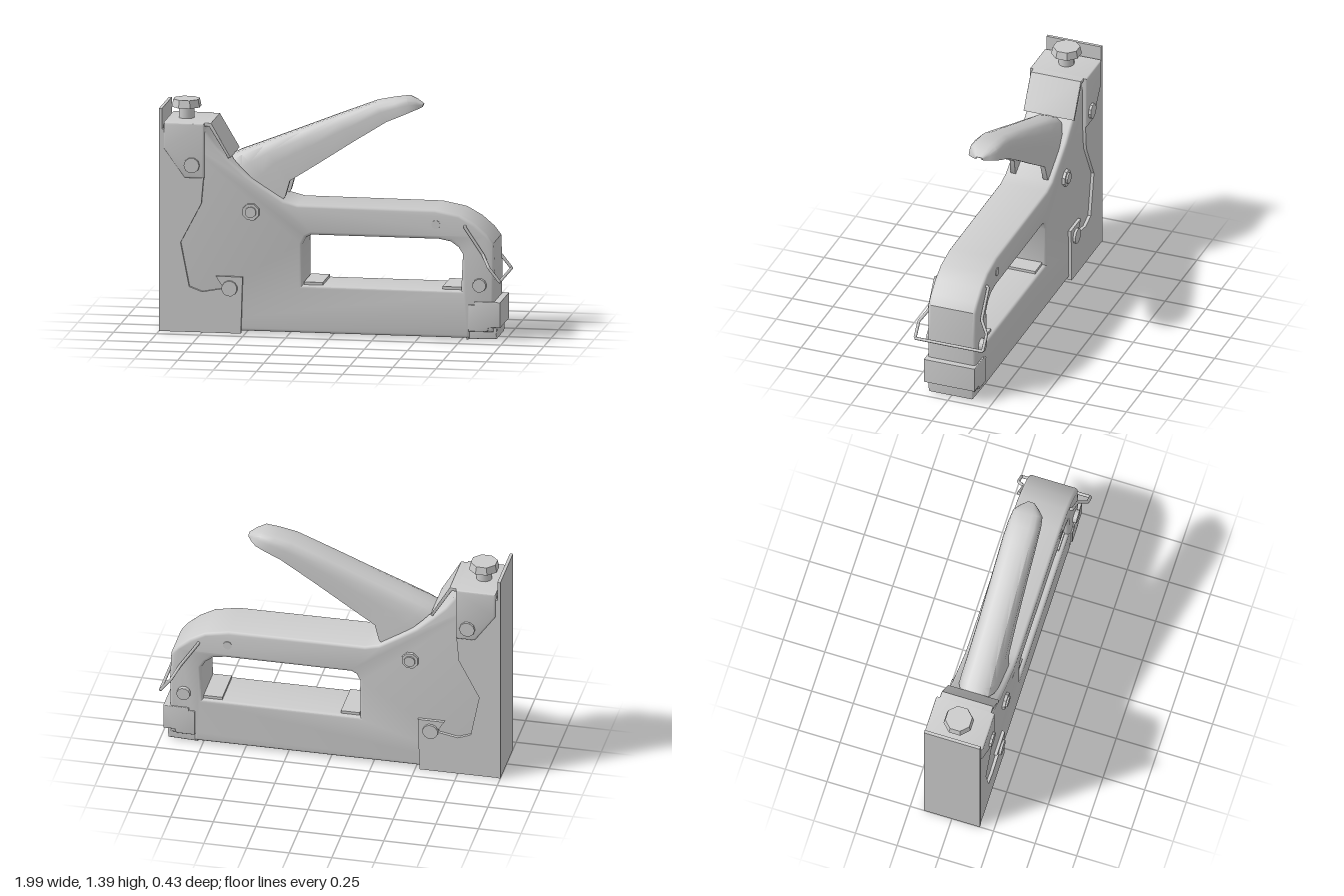
import * as THREE from 'three';
import { toCreasedNormals } from 'three/addons/utils/BufferGeometryUtils.js';

const mat = new THREE.MeshStandardMaterial({ color: 0xcccccc, side: THREE.DoubleSide });

export function createModel() {
  const root = new THREE.Group();

  const add = (name, geo, x = 0, y = 0, z = 0) => {
    const m = new THREE.Mesh(geo, mat);
    m.name = name;
    m.position.set(x, y, z);
    root.add(m);
    return m;
  };
  const toPoints = (list) => list.map(([x, y]) => new THREE.Vector2(x, y));

  // Side profile extruded between z0 and z1, with its edges bevelled inward
  const slab = (outline, z0, z1, bevel = 0, hole = null) => {
    const shape = new THREE.Shape(toPoints(outline));
    if (hole) shape.holes.push(new THREE.Path(toPoints(hole)));
    const geo = new THREE.ExtrudeGeometry(shape, {
      depth: z1 - z0 - 2 * bevel, bevelEnabled: bevel > 0, bevelSize: bevel,
      bevelThickness: bevel, bevelOffset: -bevel, bevelSegments: 3,
    });
    geo.translate(0, 0, z0 + bevel);
    return toCreasedNormals(geo, 0.6);
  };

  // Main body with the grip opening
  add('body', slab([
    [-0.98, 0.012], [0.8, 0.012], [0.8, 0.05], [0.94, 0.05], [0.945, 0.4], [0.938, 0.57], [0.9, 0.62],
    [0.83, 0.68], [0.74, 0.73], [0.6, 0.757], [-0.2, 0.76], [-0.28, 0.78], [-0.4, 0.855], [-0.5, 0.92],
    [-0.6, 1.01], [-0.67, 1.08], [-0.735, 1.17], [-0.75, 1.2], [-0.98, 1.2],
  ], -0.148, 0.148, 0.018, [
    [-0.17, 0.29], [0.75, 0.29], [0.76, 0.5], [0.735, 0.54], [0.69, 0.572], [0.62, 0.585],
    [-0.12, 0.585], [-0.15, 0.57], [-0.17, 0.53],
  ]));
  add('tailFoot', slab([[0.78, 0.003], [0.955, 0.01], [0.962, 0.1], [0.78, 0.1]], -0.137, 0.137, 0.008));
  for (const x of [-0.11, 0.695])
    add('gripPad', new THREE.BoxGeometry(0.11, 0.02, 0.25), x, 0.296, 0);

  // Nose: front plate and one cheek plate on each side
  add('nosePlate', new THREE.BoxGeometry(0.018, 1.3, 0.336), -0.991, 0.65, 0);
  const cheek = [
    [-0.99, 0], [-0.525, 0], [-0.515, 0.33], [-0.67, 0.33], [-0.625, 0.26], [-0.75, 0.237], [-0.825, 0.265],
    [-0.875, 0.52], [-0.755, 0.75], [-0.74, 0.92], [-0.74, 1.18], [-0.99, 1.18],
  ];

  // Tail clip wrapped round the rear end
  add('tailClip', slab([
    [0.795, 0.055], [0.905, 0.055], [0.912, 0.08], [0.98, 0.08], [0.98, 0.228], [0.83, 0.228],
    [0.83, 0.21], [0.795, 0.21],
  ], -0.157, 0.157, 0.004));

  // Top cap with its sloping rear shield
  add('topCap', slab([
    [-0.972, 1.07], [-0.85, 0.9], [-0.738, 0.9], [-0.738, 1.22], [-0.972, 1.22],
  ], -0.176, 0.176, 0.01));
  add('rearShield', slab([
    [-0.75, 1.2], [-0.75, 1.22], [-0.7, 1.22], [-0.585, 1.025], [-0.6, 1.018], [-0.712, 1.2],
  ], -0.155, 0.155, 0.004));

  // Tension bolt
  add('boltShank', new THREE.CylinderGeometry(0.045, 0.045, 0.09, 16), -0.868, 1.255, 0);
  const head = new THREE.CylinderGeometry(0.078, 0.088, 0.045, 8);
  head.rotateY(Math.PI / 8);
  add('boltHead', toCreasedNormals(head, 0.4), -0.868, 1.308, 0);

  // Parts on both cheeks
  const rivets = [
    ['capRivet', -0.808, 0.975, 0.05, 0.19, 10],
    ['pivotNut', -0.468, 0.71, 0.056, 0.165, 8],
    ['pivotPin', -0.468, 0.71, 0.036, 0.175, 12],
    ['noseRivet', -0.59, 0.262, 0.05, 0.18, 12],
    ['tailRivet', 0.86, 0.325, 0.043, 0.172, 12],
    ['gripPin', 0.605, 0.67, 0.028, 0.152, 12],
  ];
  for (const s of [1, -1]) {
    add('noseCheek', s > 0 ? slab(cheek, 0.14, 0.166) : slab(cheek, -0.166, -0.14));
    for (const [name, x, y, r, z, sides] of rivets) {
      const g = new THREE.CylinderGeometry(r * 0.9, r, 0.06, sides);
      g.rotateY(Math.PI / sides);
      g.rotateX(s * Math.PI / 2);
      add(name, toCreasedNormals(g, 0.3), x, y, s * (z - 0.03));
    }
  }

  // Wire bail at the rear
  const half = [[0.775, 0.665, 0.14], [0.775, 0.665, 0.162], [0.882, 0.505, 0.162],
    [0.922, 0.44, 0.208], [0.985, 0.36, 0.208]];
  const path = half.concat(half.map(([x, y, z]) => [x, y, -z]).reverse())
    .map((p) => new THREE.Vector3(...p));
  const wire = new THREE.CurvePath();
  for (let i = 1; i < path.length; i++) wire.add(new THREE.LineCurve3(path[i - 1], path[i]));
  add('wireBail', new THREE.TubeGeometry(wire, 160, 0.009, 8));

  // Squeeze lever: a channel open below, lofted through [top x, y, bottom x, y, half width]
  const stations = [
    [-0.6, 1.02, -0.31, 0.75, 0.115], [-0.55, 1.045, -0.275, 0.8, 0.114], [-0.42, 1.095, -0.25, 0.89, 0.108],
    [-0.2, 1.182, -0.09, 0.992, 0.103], [0.02, 1.27, 0.12, 1.13, 0.1], [0.24, 1.355, 0.31, 1.25, 0.098],
    [0.34, 1.375, 0.4, 1.288, 0.094], [0.42, 1.387, 0.455, 1.312, 0.085], [0.47, 1.368, 0.485, 1.322, 0.055],
    [0.51, 1.345, 0.508, 1.33, 0.022],
  ];
  // Rounded channel section as [sideways, depth] fractions
  const arc = [[-1, 1], [-0.99, 0.5], [-0.92, 0.24], [-0.72, 0.07], [-0.4, 0.01], [0, 0]];
  const outer = arc.concat(arc.slice(0, -1).reverse().map(([u, v]) => [-u, v]));
  const section = outer.concat(outer.slice().reverse().map(([u, v]) => [u * 0.74, v === 1 ? 1 : 0.2 + v * 0.8]));
  const n = section.length;
  const pos = [];
  const idx = [];
  for (const [tx, ty, bx, by, w] of stations)
    for (const [u, v] of section) pos.push(tx + (bx - tx) * v, ty + (by - ty) * v, u * w);
  for (let i = 0; i < stations.length - 1; i++) {
    for (let j = 0; j < n; j++) {
      const a = i * n + j, b = i * n + (j + 1) % n;
      idx.push(a, a + n, b, b, a + n, b + n);
    }
  }
  // Close the wall thickness at both ends
  const last = (stations.length - 1) * n;
  for (let j = 0; j < n / 2 - 1; j++) {
    const k = n - 1 - j;
    idx.push(j, j + 1, k, j + 1, k - 1, k);
    idx.push(last + j, last + k, last + j + 1, last + j + 1, last + k, last + k - 1);
  }
  // Order corners so that the outside faces out
  for (let i = 0; i < idx.length; i += 3) [idx[i + 1], idx[i + 2]] = [idx[i + 2], idx[i + 1]];
  const lever = new THREE.BufferGeometry();
  lever.setAttribute('position', new THREE.Float32BufferAttribute(pos, 3));
  lever.setIndex(idx);
  add('lever', toCreasedNormals(lever, 0.7));

  return root;
}
